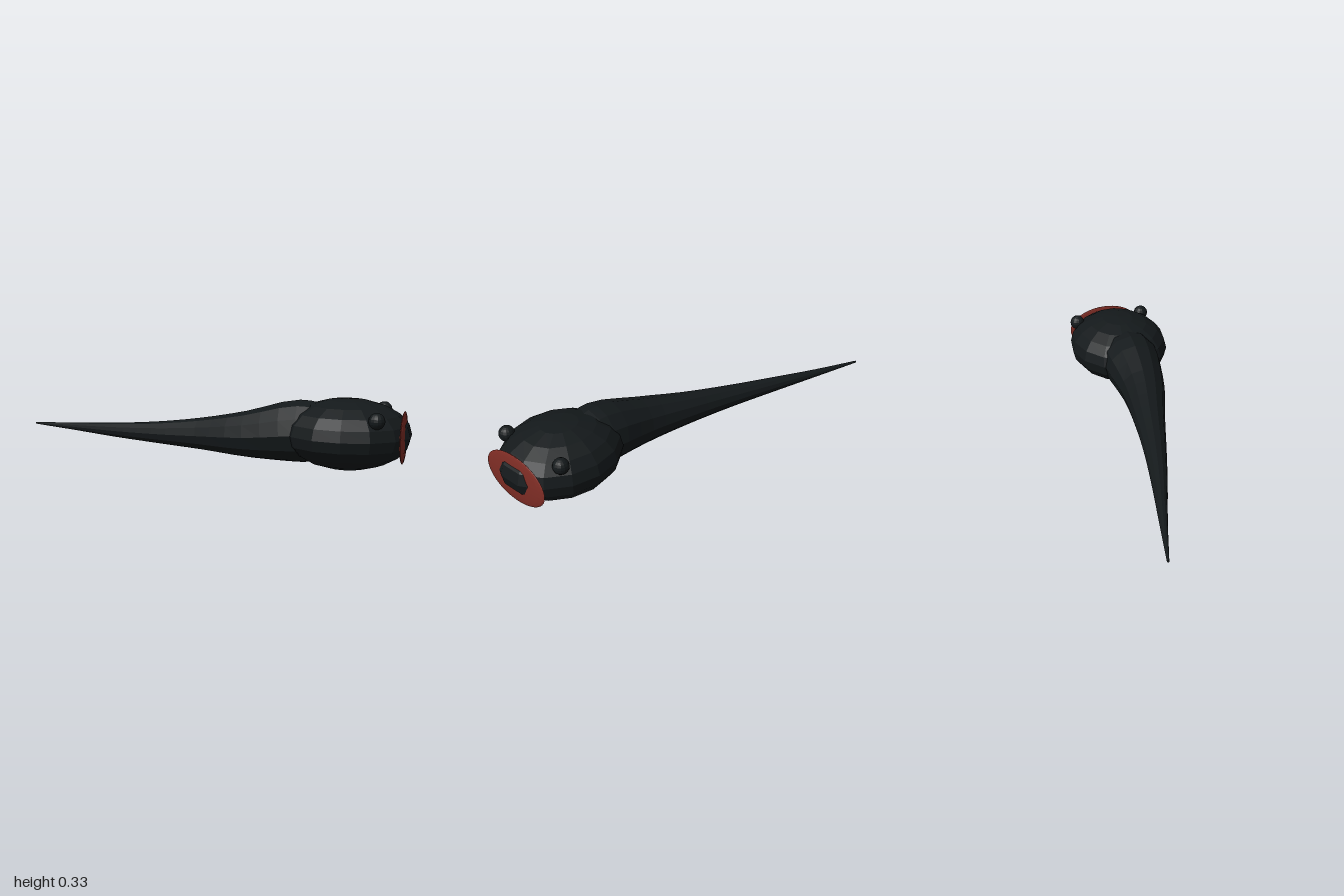
import * as THREE from 'three';

const skin = new THREE.MeshStandardMaterial({ color: 0x14191b, flatShading: true });
const red = new THREE.MeshStandardMaterial({ color: 0x7f2d25, flatShading: true });

// Ellipsoid with its own radii and segment counts
function ellipsoid(name, mat, center, radii, w, h, turn = 0) {
  const geo = new THREE.SphereGeometry(1, w, h);
  geo.rotateY(turn);
  geo.scale(...radii);
  const mesh = new THREE.Mesh(geo, mat);
  mesh.name = name;
  mesh.position.set(...center);
  return mesh;
}

// Tapering tube: stations are [x, y, z, radius] from the root to the tip
function taperedTube(stations, rings, sides) {
  const curve = new THREE.CatmullRomCurve3(stations.map(s => new THREE.Vector3(s[0], s[1], s[2])));
  const radius = new THREE.CatmullRomCurve3(stations.map(s => new THREE.Vector3(s[0], s[3], 0)));
  const up = new THREE.Vector3(0, 1, 0);
  const pos = [], index = [];
  for (let i = 0; i <= rings; i++) {
    const t = i / rings;
    const c = curve.getPoint(t), r = radius.getPoint(t).y;
    const dir = curve.getTangent(t);
    const side = new THREE.Vector3().crossVectors(dir, up).normalize();
    const top = new THREE.Vector3().crossVectors(side, dir);
    for (let j = 0; j < sides; j++) {
      const a = (j / sides) * Math.PI * 2;
      const p = c.clone().addScaledVector(side, Math.cos(a) * r).addScaledVector(top, Math.sin(a) * r);
      pos.push(p.x, p.y, p.z);
      if (i < rings) {
        const k = (j + 1) % sides, m = i * sides, n = m + sides;
        index.push(m + j, n + j, m + k, m + k, n + j, n + k);
      }
    }
  }
  // end caps
  const last = rings * sides;
  for (let j = 1; j < sides - 1; j++) {
    index.push(0, j, j + 1, last, last + j + 1, last + j);
  }
  const geo = new THREE.BufferGeometry();
  geo.setAttribute('position', new THREE.Float32BufferAttribute(pos, 3));
  geo.setIndex(index);
  geo.computeVertexNormals();
  return geo;
}

export function createModel() {
  const model = new THREE.Group();
  model.name = 'tadpoleCreature';

  // Broad, flattened head
  model.add(ellipsoid('head', skin, [0.71, 0.163, 0.063], [0.295, 0.163, 0.252], 14, 10, Math.PI / 2));

  // Thin red mouth disc that the snout pokes through
  model.add(ellipsoid('mouthDisc', red, [0.964, 0.157, 0.063], [0.013, 0.117, 0.192], 20, 20));

  // Eyes
  for (const s of [-1, 1]) {
    model.add(ellipsoid(s > 0 ? 'leftEye' : 'rightEye', skin,
      [0.859, 0.255, 0.063 + s * 0.181], [0.037, 0.037, 0.037], 14, 10));
  }

  // Long curved tail
  const tail = new THREE.Mesh(taperedTube([
    [0.6, 0.163, 0.063, 0.132],
    [0.5, 0.165, 0.06, 0.146],
    [0.25, 0.134, 0.036, 0.112],
    [0, 0.114, -0.022, 0.078],
    [-0.25, 0.098, -0.085, 0.054],
    [-0.5, 0.087, -0.157, 0.036],
    [-0.75, 0.08, -0.235, 0.019],
    [-1, 0.075, -0.31, 0.005],
  ], 21, 12), skin);
  tail.name = 'tail';
  model.add(tail);

  return model;
}
